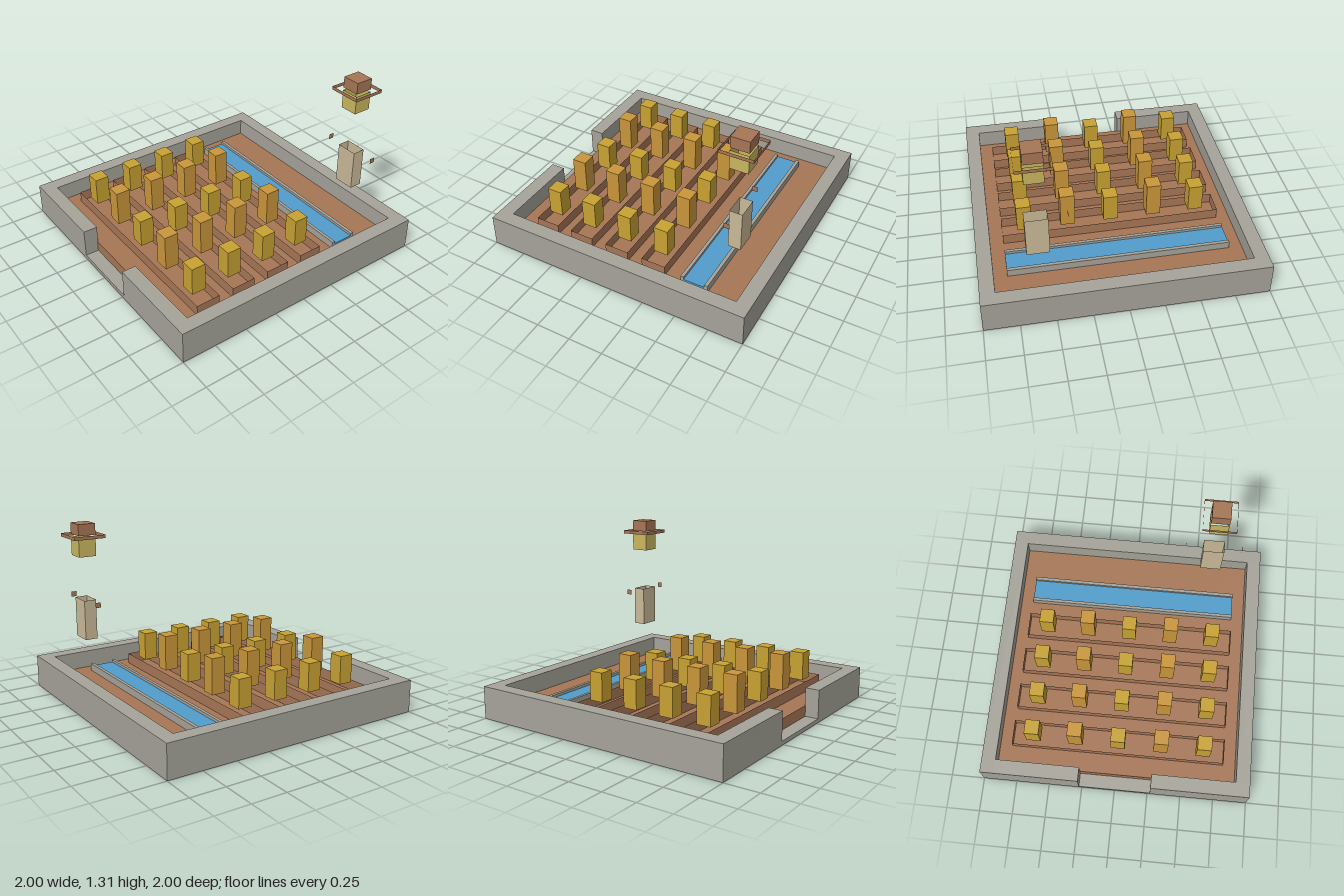
import * as THREE from 'three';

const mat = (name, color) => {
  const m = new THREE.MeshStandardMaterial({ color, side: THREE.DoubleSide });
  m.name = name;
  return m;
};

// Box given by its ranges; keeps only the listed faces
// (0 = +x, 1 = -x, 2 = top, 3 = bottom, 4 = +z, 5 = -z).
const SIDES = [0, 1, 4, 5];
const OPEN_BELOW = [0, 1, 2, 4, 5];
const ENDS = [0, 1];

function shell(name, material, [x0, x1], [y0, y1], [z0, z1], faces = OPEN_BELOW) {
  const g = new THREE.BoxGeometry(x1 - x0, y1 - y0, z1 - z0);
  const all = Array.from(g.index.array);
  g.setIndex(faces.flatMap((f) => all.slice(f * 6, f * 6 + 6)));
  g.clearGroups();
  g.translate((x0 + x1) / 2, (y0 + y1) / 2, (z0 + z1) / 2);
  const mesh = new THREE.Mesh(g, material);
  mesh.name = name;
  return mesh;
}

const around = (c, half) => [c - half, c + half];

export function createModel() {
  const stone = mat('stone', 0xa5a399);
  const soil = mat('soil brown', 0xa67656);
  const yellow = mat('crop yellow', 0xc8a232);
  const orange = mat('crop orange', 0xca963a);
  const water = mat('water blue', 0x529dcc);
  const cloth = mat('cloth tan', 0xc9b997);
  const straw = mat('straw', 0xc8b75f);

  const model = new THREE.Group();
  model.name = 'walledField';

  // Stone walls with an entrance gap at the front
  const walls = new THREE.Group();
  walls.name = 'walls';
  const wallY = [0, 0.24], inner = 0.895, gap = 0.27;
  walls.add(
    shell('backWall', stone, [-1, 1], wallY, [-1, -inner]),
    shell('leftWall', stone, [inner, 1], wallY, [-1, 1]),
    shell('rightWall', stone, [-1, -inner], wallY, [-1, 1]),
    shell('frontWallLeft', stone, [gap, 1], wallY, [inner, 1]),
    shell('frontWallRight', stone, [-1, -gap], wallY, [inner, 1]),
    shell('threshold', stone, [-gap, gap], [0, 0.03], [inner, 1]),
  );
  model.add(walls);

  // Soil bed
  model.add(shell('soilBed', soil, [-0.9, 0.9], [0.03, 0.11], [-0.9, 0.9]));

  // Water channel between two low stone curbs
  const channel = new THREE.Group();
  channel.name = 'waterChannel';
  channel.add(
    shell('backCurb', stone, [-0.8, 0.8], [0.11, 0.165], [-0.64, -0.615]),
    shell('frontCurb', stone, [-0.8, 0.8], [0.11, 0.165], [-0.458, -0.435]),
    shell('water', water, [-0.8, 0.8], [0.11, 0.145], [-0.615, -0.458]),
  );
  model.add(channel);

  // Furrow rows, each with alternating short and tall crops
  for (const z of [-0.22, 0.075, 0.37, 0.662]) {
    const row = new THREE.Group();
    row.name = 'cropRow';
    row.add(shell('furrow', soil, [-0.8, 0.8], [0.11, 0.19], around(z, 0.09), SIDES));
    for (let i = -2; i <= 2; i++) {
      const tall = i % 2 !== 0;
      row.add(shell(tall ? 'tallCrop' : 'shortCrop', tall ? orange : yellow,
        around(i * 0.319, 0.053), [0.19, tall ? 0.455 : 0.4], around(z, 0.053)));
    }
    model.add(row);
  }

  // Field figure: open body, arm ends, head and brimmed hat
  const figure = new THREE.Group();
  figure.name = 'fieldFigure';
  const cx = 0.585, cz = -0.758;
  figure.add(
    shell('body', cloth, around(cx, 0.078), [0.455, 0.75], around(cz, 0.046), SIDES),
    shell('armEnds', soil, around(cx, 0.21), [0.722, 0.76], around(cz, 0.02), ENDS),
    shell('head', straw, around(cx, 0.066), [1.07, 1.205], around(cz, 0.066), SIDES),
    shell('hatBrim', soil, around(cx, 0.119), [1.203, 1.228], around(cz, 0.119), SIDES),
    shell('hatCrown', soil, around(cx, 0.066), [1.225, 1.308], around(cz, 0.066)),
  );
  model.add(figure);

  return model;
}
